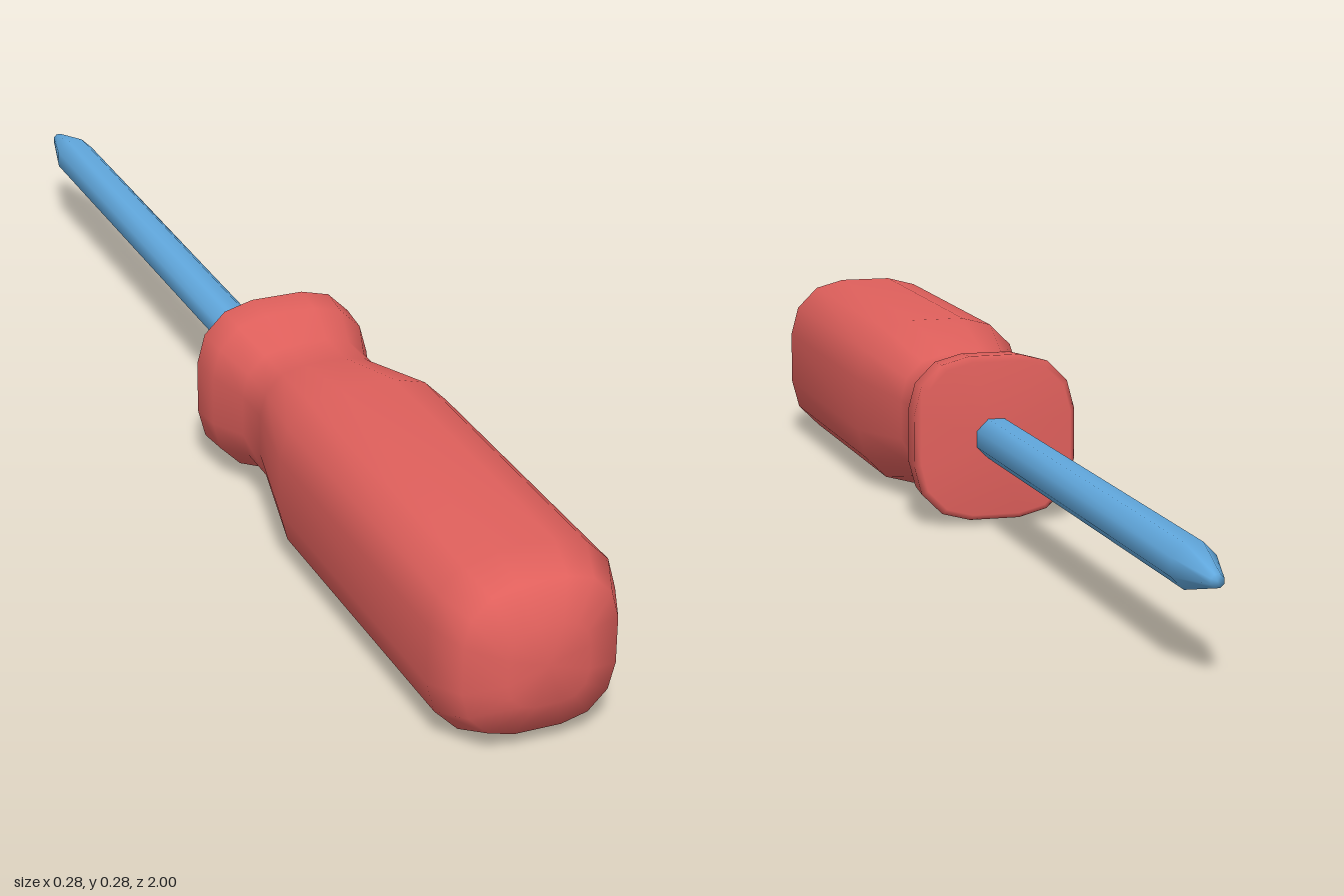
import * as THREE from 'three';

const AXIS_HEIGHT = 0.138;

// Lofts a unit cross-section along z; stations are [z, half-width], running from +z to -z.
function loft(section, stations) {
  const n = section.length, positions = [], index = [];
  for (const [z, r] of stations) {
    for (const [x, y] of section) positions.push(x * r, y * r, z);
  }
  for (let i = 0; i < stations.length - 1; i++) {
    for (let j = 0; j < n; j++) {
      const a = i * n + j, b = i * n + (j + 1) % n;
      if (stations[i][1] > 0) index.push(a, a + n, b);
      if (stations[i + 1][1] > 0) index.push(b, a + n, b + n);
    }
  }
  const geometry = new THREE.BufferGeometry();
  geometry.setAttribute('position', new THREE.Float32BufferAttribute(positions, 3));
  geometry.setIndex(index);
  geometry.computeVertexNormals();
  return geometry;
}

// Square with rounded corners, three segments per corner
function roundedSquare(flat) {
  const points = [], radius = 1 - flat;
  for (let corner = 0; corner < 4; corner++) {
    const middle = Math.PI / 4 + corner * Math.PI / 2;
    const cx = Math.sign(Math.cos(middle)) * flat, cy = Math.sign(Math.sin(middle)) * flat;
    for (let k = 0; k < 4; k++) {
      const t = corner * Math.PI / 2 + k * Math.PI / 6;
      points.push([cx + Math.cos(t) * radius, cy + Math.sin(t) * radius]);
    }
  }
  return points;
}

// Regular polygon with flats on top and sides
function polygon(sides) {
  return Array.from({ length: sides }, (_, i) => {
    const t = (i + 0.5) * 2 * Math.PI / sides;
    return [Math.cos(t), Math.sin(t)];
  });
}

export function createModel() {
  const group = new THREE.Group();
  group.name = 'screwdriver';

  const add = (name, geometry, color) => {
    const mesh = new THREE.Mesh(geometry, new THREE.MeshStandardMaterial({ color }));
    mesh.name = name;
    mesh.position.y = AXIS_HEIGHT;
    group.add(mesh);
  };

  // Grip with rounded butt, narrow neck and flared collar
  add('handle', loft(roundedSquare(0.31), [
    [1, 0], [1, 0.06], [0.973, 0.113], [0.915, 0.138], [0.4, 0.138],
    [0.24, 0.104], [0.17, 0.104], [0.105, 0.127], [0.05, 0.131], [0.04, 0.122], [0.04, 0],
  ]), 0xe0605c);

  // Shaft tapering to a blunt tip
  add('shaft', loft(polygon(8), [
    [0.06, 0], [0.06, 0.034], [-0.907, 0.034], [-1, 0.01], [-1, 0],
  ]), 0x62aae0);

  return group;
}
